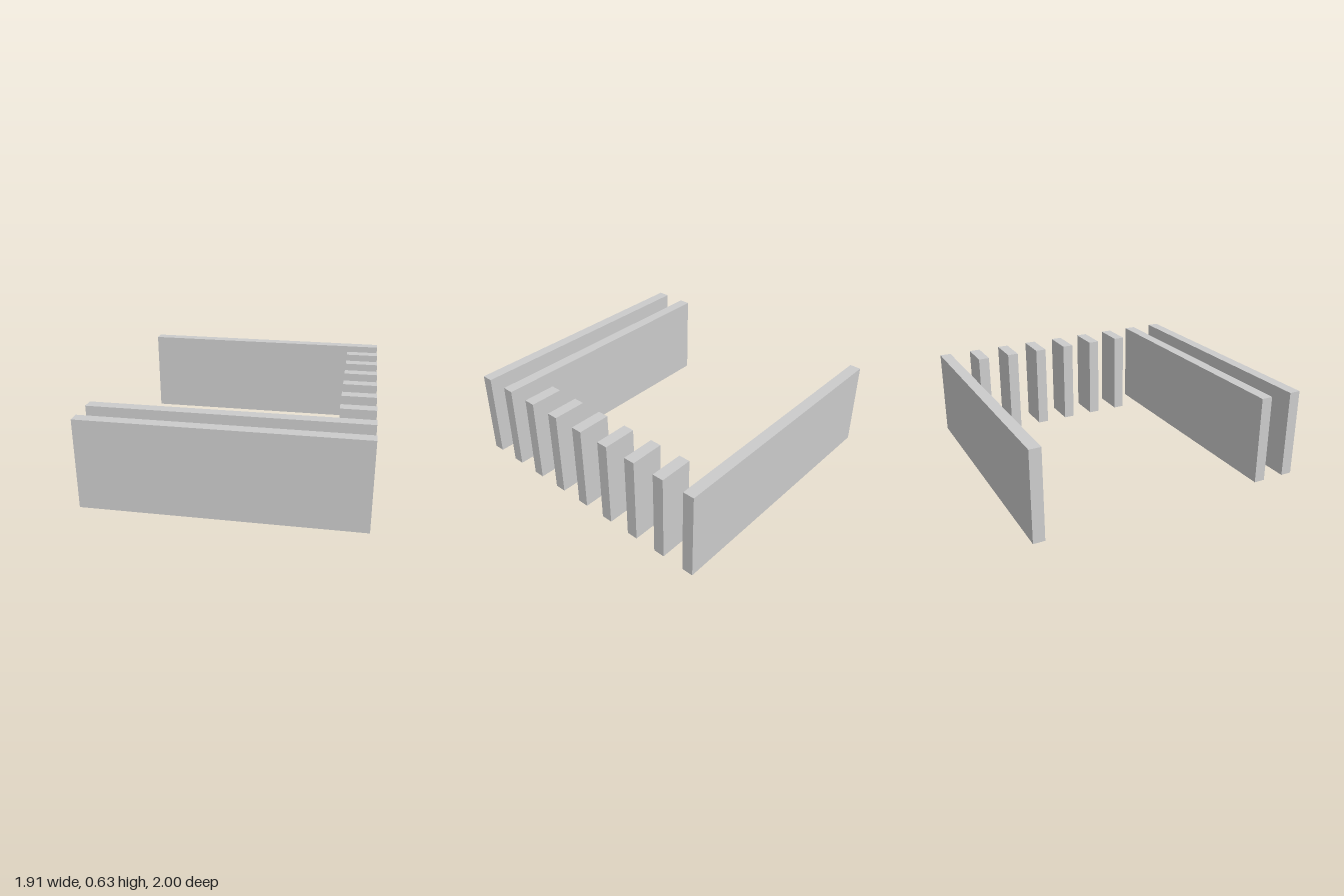
import * as THREE from 'three';

const HEIGHT = 0.635;
const THICKNESS = 0.081;
const SPACING = 0.24;
const RIGHT_EDGE = 0.957; // all slabs line up on this x
const LONG = 2 * RIGHT_EDGE;
const SHORT = 0.243;

export function createModel() {
  const model = new THREE.Group();
  model.name = 'slabRow';
  const material = new THREE.MeshStandardMaterial({ color: 0xcccccc });

  function addSlab(name, length, z) {
    const slab = new THREE.Mesh(new THREE.BoxGeometry(length, HEIGHT, THICKNESS), material);
    slab.name = name;
    slab.position.set(RIGHT_EDGE - length / 2, HEIGHT / 2, z);
    model.add(slab);
  }

  // Nine evenly spaced slabs from back to front: one long, six short, two long
  for (let i = 0; i < 9; i++) {
    const isLong = i === 0 || i >= 7;
    addSlab(isLong ? 'longWall' : 'shortFin', isLong ? LONG : SHORT, (i - 4) * SPACING);
  }

  return model;
}
